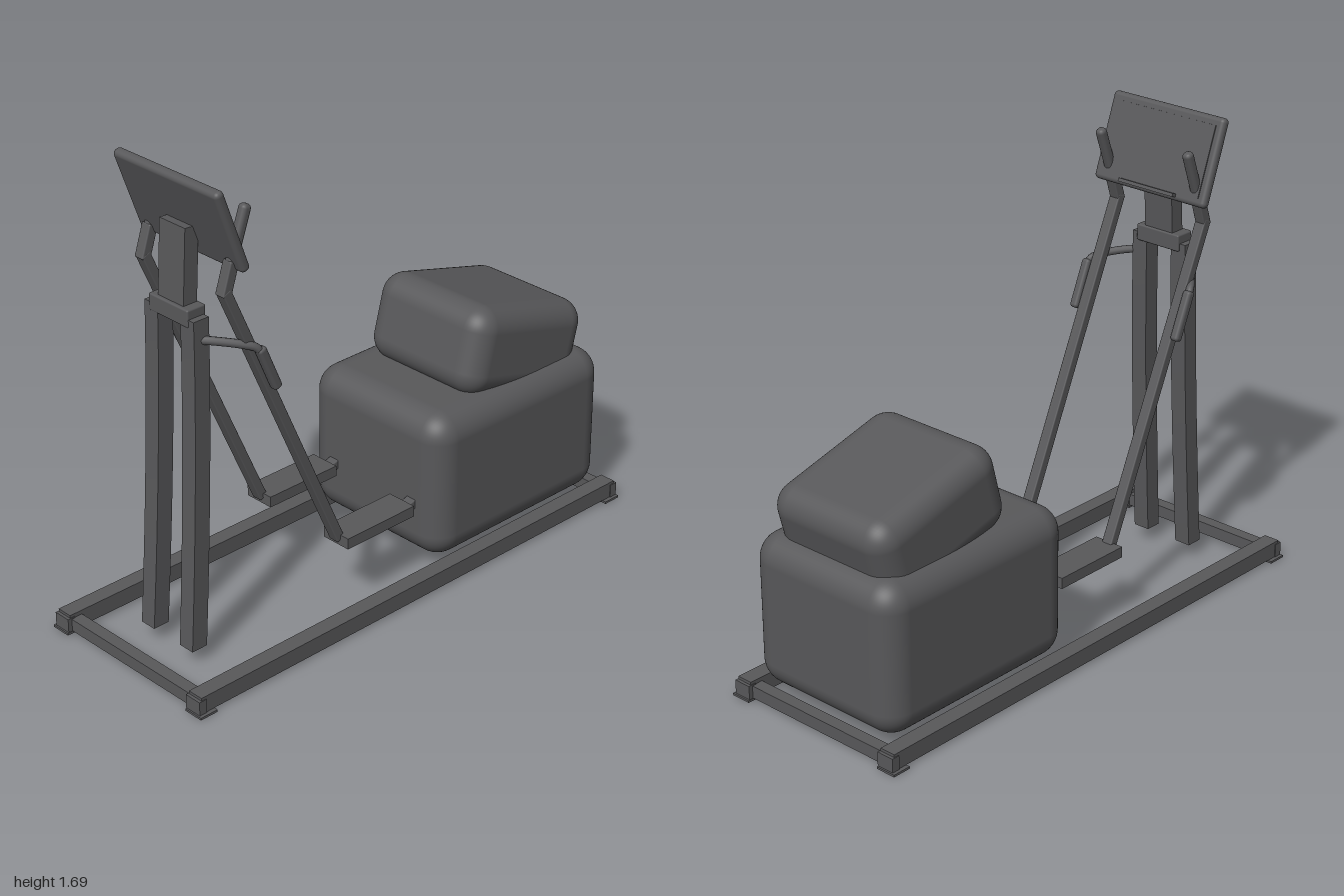
import * as THREE from 'three';
import { RoundedBoxGeometry } from 'three/addons/geometries/RoundedBoxGeometry.js';

export function createModel() {
  const model = new THREE.Group();
  model.name = 'ellipticalTrainer';
  const grey = new THREE.MeshStandardMaterial({ color: 0x58585a });
  grey.name = 'darkGrey';

  const add = (name, geometry, x, y, z, tilt = 0) => {
    const mesh = new THREE.Mesh(geometry, grey);
    mesh.name = name;
    mesh.position.set(x, y, z);
    mesh.rotation.x = tilt;
    model.add(mesh);
    return mesh;
  };
  const box = (name, w, h, d, x, y, z, tilt) =>
    add(name, new THREE.BoxGeometry(w, h, d), x, y, z, tilt);
  const rounded = (name, w, h, d, r, x, y, z, tilt, seg = 6) =>
    add(name, new RoundedBoxGeometry(w, h, d, seg, r), x, y, z, tilt);
  // Rounded bar between two points
  const bar = (name, a, b, w, h, r = 0.005) => {
    const p = new THREE.Vector3(...a), q = new THREE.Vector3(...b);
    const c = p.clone().add(q).multiplyScalar(0.5);
    const mesh = rounded(name, w, h, p.distanceTo(q), r, c.x, c.y, c.z, 0, 2);
    mesh.lookAt(q);
    return mesh;
  };

  // Flywheel housing and its tilted upper cover
  rounded('housing', 0.64, 0.55, 0.84, 0.095, 0, 0.33, -0.535);
  rounded('upperCover', 0.52, 0.32, 0.565, 0.085, 0, 0.682, -0.624, -0.262);

  // Base cross bars
  for (const s of [1, -1]) box('crossBar', 0.6, 0.045, 0.045, 0, 0.033, s * 0.958);

  for (const s of [1, -1]) {
    // Base rails with corner feet
    box('sideRail', 0.06, 0.06, 1.97, s * 0.33, 0.04, 0);
    for (const e of [1, -1]) {
      box('footPlate', 0.075, 0.008, 0.07, s * 0.335, 0.004, e * 0.965);
      box('railCap', 0.066, 0.05, 0.03, s * 0.33, 0.035, e * 0.981);
    }

    // Mast post, bowed backwards and drawn together towards the top
    const post = new THREE.BoxGeometry(0.063, 1.17, 0.062, 1, 16, 1);
    const pos = post.attributes.position;
    for (let i = 0; i < pos.count; i++) {
      const t = pos.getY(i) / 1.17 + 0.5;
      pos.setX(i, pos.getX(i) + s * (0.096 - 0.011 * t));
      pos.setZ(i, pos.getZ(i) + 0.79 - 0.055 * (1 - (1 - t) ** 1.6));
    }
    post.computeVertexNormals();
    add('mastPost', post, 0, 0.64, 0);

    // Swinging arm, upper grip, pedal and rear link
    const x = s * 0.19;
    bar('swingArm', [x, 1.34, 0.708], [x, 0.27, 0.232], 0.042, 0.034);
    bar('armElbow', [x, 1.32, 0.708], [x, 1.43, 0.672], 0.04, 0.036);
    bar('armGrip', [x, 1.41, 0.678], [x, 1.6, 0.609], 0.036, 0.036, 0.015);
    box('pedal', 0.116, 0.04, 0.31, x, 0.27, 0.083);
    bar('pedalLink', [x, 0.246, -0.055], [x, 0.275, -0.16], 0.042, 0.034);

    // Fixed side handle curving outwards from the mast
    const curve = new THREE.CatmullRomCurve3([
      [0.1, 1.15, 0.735], [0.14, 1.148, 0.7], [0.2, 1.135, 0.635],
      [0.222, 1.12, 0.602], [0.226, 1.08, 0.582],
    ].map(([px, py, pz]) => new THREE.Vector3(s * px, py, pz)));
    add('sideHandle', new THREE.TubeGeometry(curve, 24, 0.014, 10), 0, 0, 0);
    bar('sideGrip', [s * 0.226, 1.12, 0.595], [s * 0.226, 0.957, 0.525], 0.034, 0.034, 0.012);
  }

  // Mast head and neck
  rounded('mastHead', 0.185, 0.06, 0.075, 0.006, 0, 1.227, 0.732, 0, 2);
  box('neck', 0.12, 0.27, 0.055, 0, 1.378, 0.722, -0.06);

  // Console with a screen plate and a small ledge on the user's side
  const tilt = 0.35;
  rounded('console', 0.486, 0.31, 0.036, 0.016, 0, 1.547, 0.704, tilt, 4);
  const back = (d) => [1.547 + d * Math.sin(tilt), 0.704 - d * Math.cos(tilt)];
  box('screenPlate', 0.43, 0.25, 0.006, 0, ...back(0.019), tilt);
  box('consoleLedge', 0.24, 0.012, 0.03, 0, 1.425, 0.637, tilt);

  return model;
}
